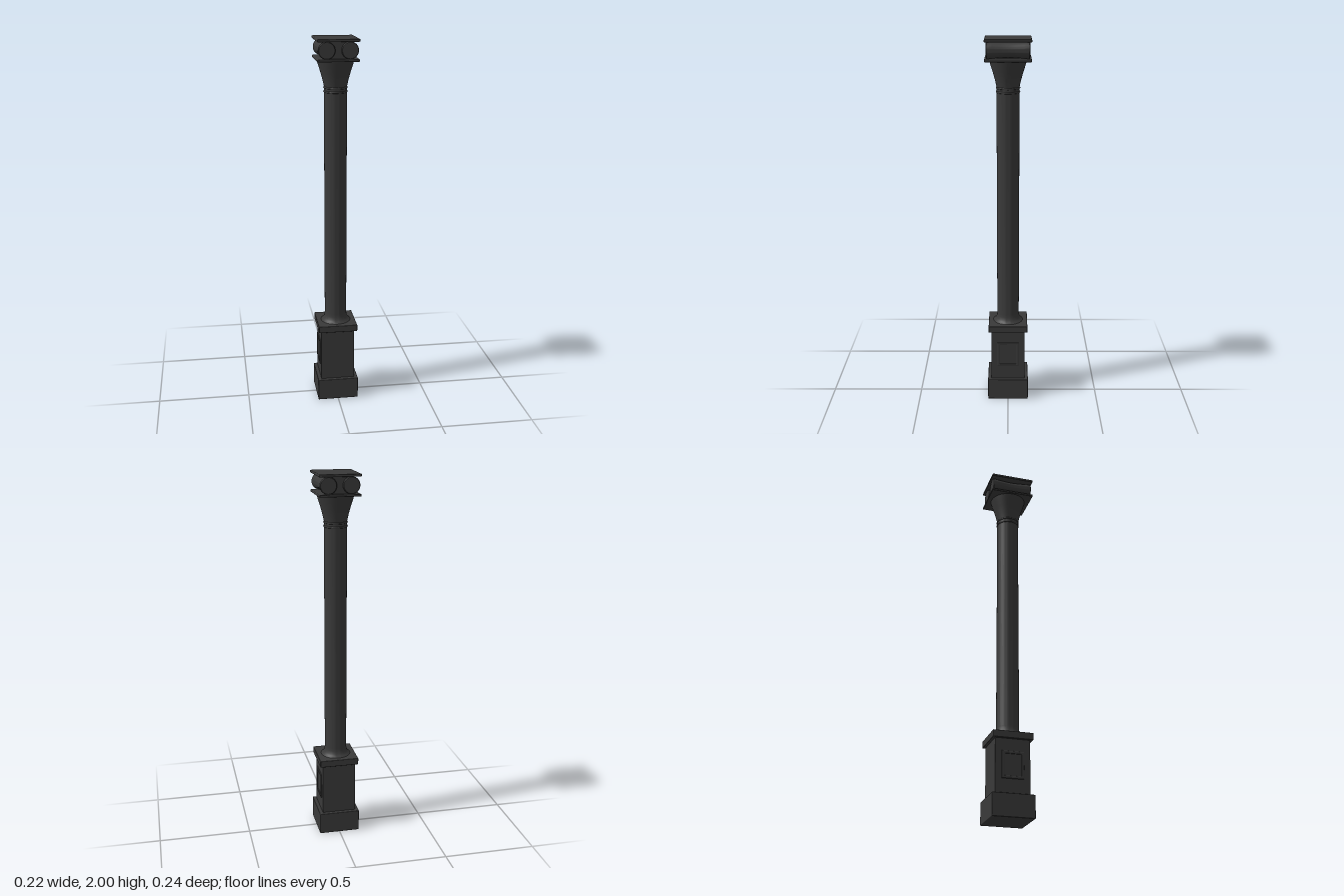
import * as THREE from 'three';
import { RoundedBoxGeometry } from 'three/addons/geometries/RoundedBoxGeometry.js';
import { toCreasedNormals } from 'three/addons/utils/BufferGeometryUtils.js';

export function createModel() {
  const model = new THREE.Group();
  model.name = 'column';
  const material = new THREE.MeshStandardMaterial({ color: 0x3a3a3a });

  const add = (name, geometry, x = 0, y = 0, z = 0, parent = model) => {
    const mesh = new THREE.Mesh(geometry, material);
    mesh.name = name;
    mesh.position.set(x, y, z);
    parent.add(mesh);
    return mesh;
  };
  // Box resting between two heights, with softened edges
  const slab = (name, w, d, y0, y1, bevel) =>
    add(name, new RoundedBoxGeometry(w, y1 - y0, d, 2, bevel), 0, (y0 + y1) / 2);
  const lathe = (points, segments = 48) => toCreasedNormals(
    new THREE.LatheGeometry(points.map(([r, y]) => new THREE.Vector2(r, y)), segments), 0.6);

  // Square pedestal
  slab('plinth', 0.224, 0.224, 0, 0.12, 0.004);
  add('pedestal', new THREE.BoxGeometry(0.184, 0.30, 0.184), 0, 0.26);
  slab('pedestalCap', 0.214, 0.214, 0.405, 0.442, 0.003);

  // Raised frame and inner panel on each side of the pedestal
  const rect = (path, w, h) => path.moveTo(-w, -h).lineTo(w, -h).lineTo(w, h).lineTo(-w, h).closePath();
  const frameShape = rect(new THREE.Shape(), 0.056, 0.068);
  frameShape.holes.push(rect(new THREE.Path(), 0.048, 0.06));
  const frameGeometry = new THREE.ExtrudeGeometry(frameShape, {
    depth: 0.004, bevelThickness: 0.003, bevelSize: 0.003, bevelSegments: 2,
  });
  for (const side of [-1, 1]) {
    const panel = new THREE.Group();
    panel.name = side > 0 ? 'leftPanel' : 'rightPanel';
    panel.position.set(side * 0.091, 0.268, 0);
    panel.rotation.y = side * Math.PI / 2;
    add('panelFrame', frameGeometry, 0, 0, 0, panel);
    add('panelInset', new THREE.BoxGeometry(0.096, 0.12, 0.004), 0, 0, 0.001, panel);
    model.add(panel);
  }

  // Round shaft with a flared foot and a slight swelling of the neck
  add('shaft', lathe([
    [0.084, 0.44], [0.078, 0.445], [0.071, 0.451], [0.065, 0.46], [0.061, 0.474],
    [0.06, 0.49], [0.06, 1.75],
  ]));
  for (const y of [1.724, 1.745]) {
    const ring = add('neckRing', new THREE.TorusGeometry(0.059, 0.005, 10, 48), 0, y);
    ring.rotation.x = Math.PI / 2;
  }

  // Flaring bell of the capital
  add('capitalBell', lathe([
    [0.058, 1.74], [0.061, 1.755], [0.068, 1.785], [0.079, 1.825],
    [0.091, 1.862], [0.098, 1.888], [0, 1.888],
  ]));
  slab('lowerAbacus', 0.216, 0.242, 1.887, 1.9, 0.004);

  // Two scroll drums running front to back, slimmer at the middle
  const drumProfile = [
    [0, -0.112], [0.041, -0.112], [0.044, -0.109], [0.044, -0.1], [0.042, -0.08], [0.039, -0.04],
    [0.037, 0], [0.039, 0.04], [0.042, 0.08], [0.044, 0.1], [0.044, 0.109], [0.041, 0.112], [0, 0.112],
  ];
  for (const side of [-1, 1]) {
    const drum = add(side > 0 ? 'leftScroll' : 'rightScroll', lathe(drumProfile, 40), side * 0.06, 1.943);
    drum.rotation.x = Math.PI / 2;
  }
  add('capitalCore', new THREE.BoxGeometry(0.12, 0.09, 0.2), 0, 1.943);
  slab('upperAbacus', 0.218, 0.243, 1.986, 2, 0.004);

  return model;
}
